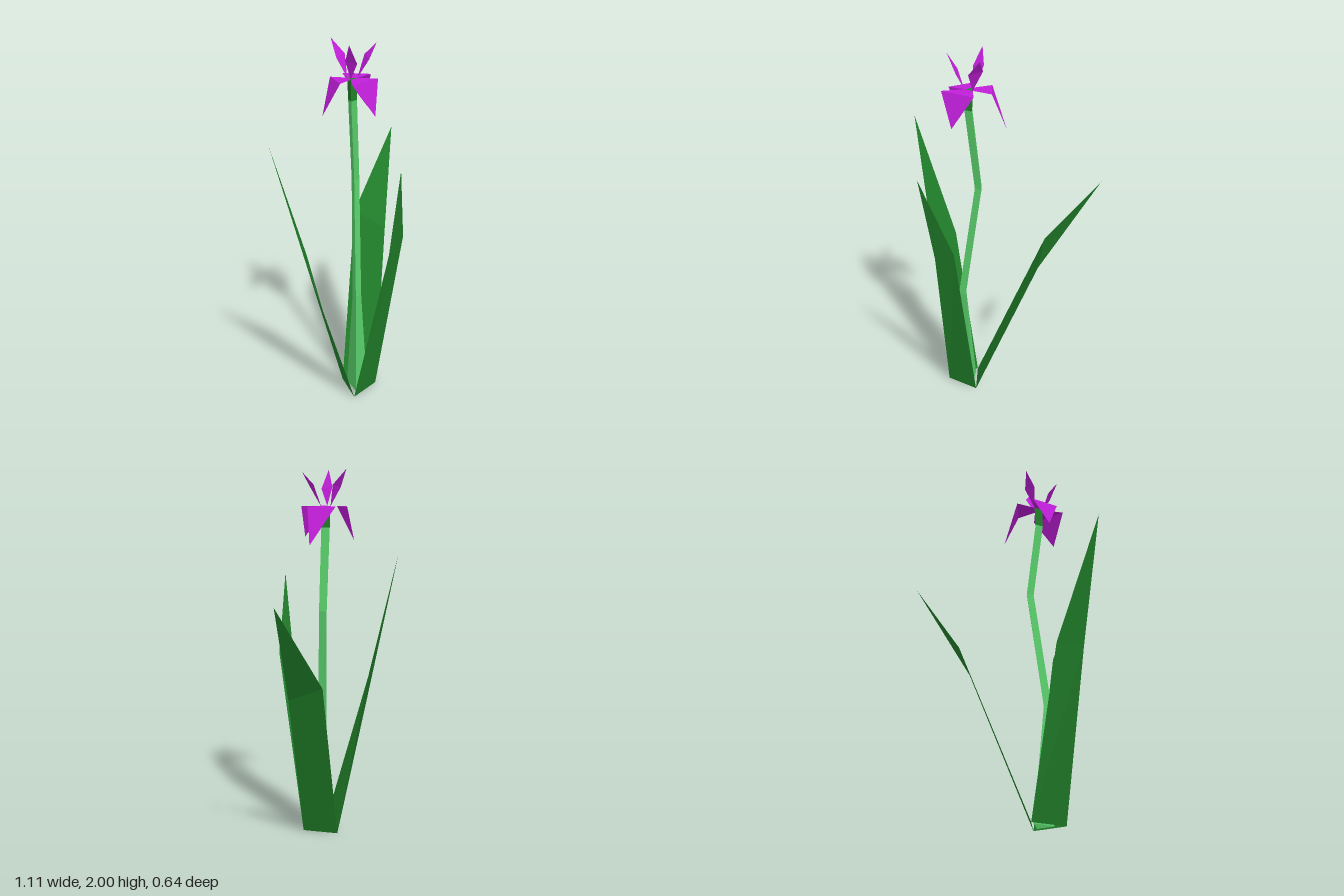
import * as THREE from 'three';

const material = (color) =>
  new THREE.MeshStandardMaterial({ color, flatShading: true, side: THREE.DoubleSide });
const leafGreen = material(0x21802a);
const stemGreen = material(0x5ad06c);
const purple = material(0xc01ed8);

// Faceted mesh from a list of corner triples
function facets(name, triangles, mat) {
  const geometry = new THREE.BufferGeometry();
  geometry.setAttribute('position', new THREE.Float32BufferAttribute(triangles.flat(2), 3));
  geometry.computeVertexNormals();
  const mesh = new THREE.Mesh(geometry, mat);
  mesh.name = name;
  return mesh;
}

// Blade that runs from an edge a-b through an edge c-d to a pointed tip
function blade(name, [a, b], [c, d], tip, mat) {
  return facets(name, [[a, b, d], [a, d, c], [c, d, tip]], mat);
}

// Three-sided section: flat side towards the front, point at the back
function section(x, y, z, width, depth) {
  return [[x - width / 2, y, z], [x + width / 2, y, z], [x, y, z - depth]];
}

// Three-sided tube through a list of sections
function prism(name, rings, mat, capped) {
  const triangles = [];
  for (let i = 0; i < rings.length - 1; i++) {
    for (let k = 0; k < 3; k++) {
      const n = (k + 1) % 3;
      const [a, b, c, d] = [rings[i][k], rings[i][n], rings[i + 1][k], rings[i + 1][n]];
      triangles.push([a, b, d], [a, d, c]);
    }
  }
  if (capped) triangles.push(rings[rings.length - 1]);
  return facets(name, triangles, mat);
}

export function createModel() {
  const model = new THREE.Group();
  model.name = 'iris';

  // Leaves, one on each side of a triangular base
  const [baseR, baseL, baseB] = section(-0.105, 0, 0.03, 0.19, 0.17);
  model.add(
    blade('frontLeaf', [baseR, baseL], [[-0.14, 0.93, 0.225], [-0.02, 1.0, 0.225]],
      [-0.17, 1.43, 0.32], leafGreen),
    blade('rightLeaf', [baseB, baseR], [[-0.3, 0.86, -0.21], [-0.4, 0.85, -0.11]],
      [-0.555, 1.54, -0.19], leafGreen),
    blade('leftLeaf', [baseL, baseB], [[0.285, 0.84, -0.14], [0.225, 0.92, -0.32]],
      [0.55, 1.36, -0.305], leafGreen),
  );

  // Bent stem and the cup that carries the flower
  const cupBottom = section(-0.098, 1.7, -0.038, 0.045, 0.04);
  const cupTop = section(-0.095, 1.81, -0.04, 0.05, 0.045);
  model.add(
    prism('stem', [
      section(-0.1, 0, 0, 0.1, 0.11),
      section(-0.12, 0.61, 0, 0.045, 0.042),
      section(-0.053, 1.26, -0.063, 0.042, 0.036),
      cupBottom,
    ], stemGreen, false),
    prism('flowerCup', [cupBottom, cupTop], leafGreen, true),
  );

  // Drooping petals, spreading level from the cup and then folding down
  const [cupR, cupL, cupB] = cupTop;
  model.add(
    blade('frontDroopingPetal', [cupR, cupL], [[-0.205, 1.81, 0.045], [-0.01, 1.81, 0.045]],
      [-0.105, 1.645, 0.105], purple),
    blade('rightDroopingPetal', [cupB, cupR], [[-0.135, 1.81, -0.165], [-0.21, 1.81, -0.03]],
      [-0.225, 1.63, -0.14], purple),
    blade('leftDroopingPetal', [cupL, cupB], [[0.04, 1.81, -0.045], [-0.035, 1.81, -0.172]],
      [0.093, 1.615, -0.108], purple),
  );

  // Upright petals: folded kites rising from the corners of the cup
  const uprights = [
    ['backUprightPetal', cupB, [-0.06, 1.92, -0.13], [-0.125, 1.91, -0.13], [-0.103, 2.0, -0.185]],
    ['rightUprightPetal', cupR, [-0.16, 1.91, -0.04], [-0.135, 1.9, 0.015], [-0.19, 2.0, 0.012]],
    ['leftUprightPetal', cupL, [-0.055, 1.91, 0.025], [-0.01, 1.92, -0.043], [0.01, 1.985, 0.02]],
  ];
  for (const [name, root, a, b, tip] of uprights) {
    model.add(facets(name, [[root, a, b], [a, tip, b]], purple));
  }

  return model;
}
